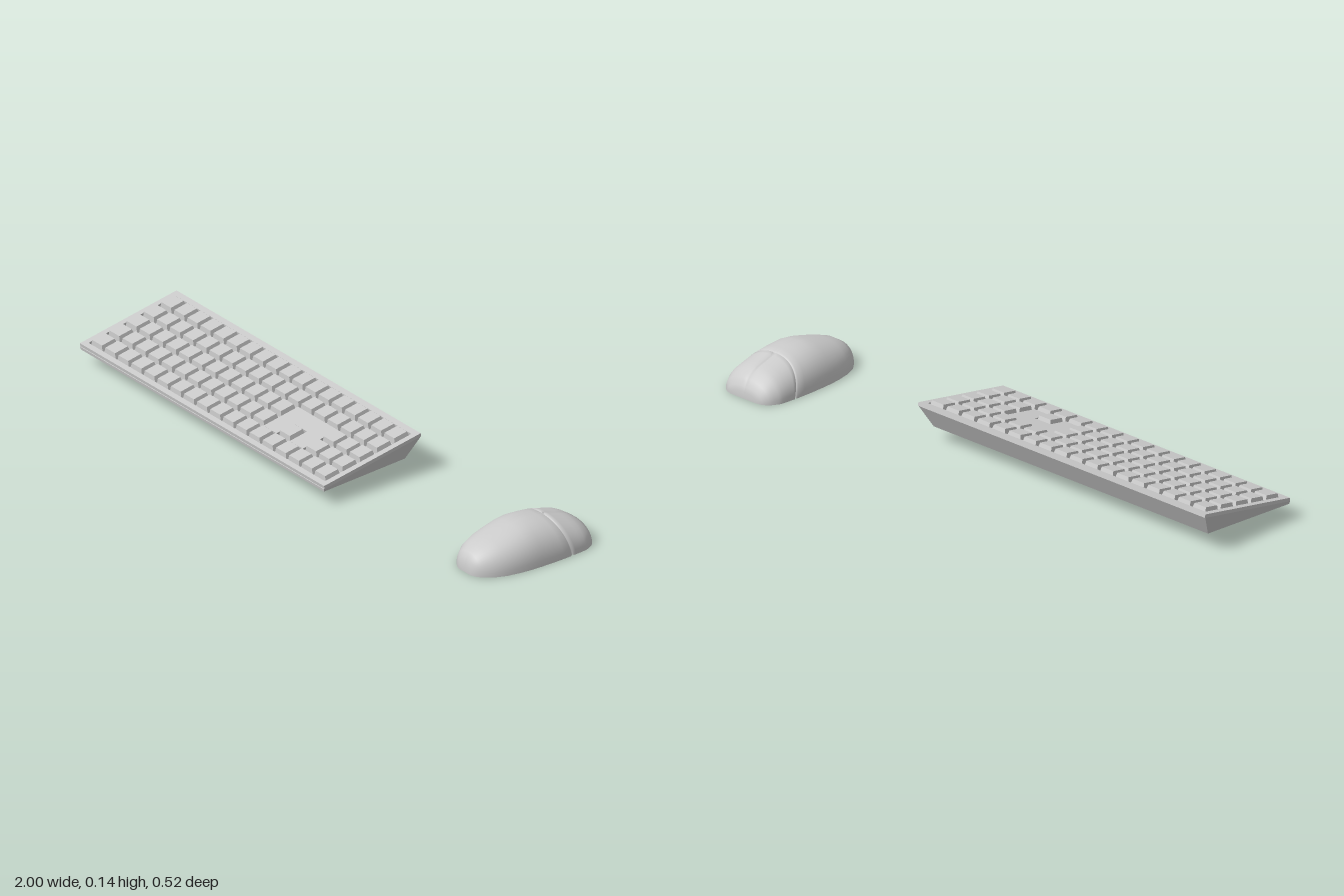
import * as THREE from 'three';

const material = new THREE.MeshStandardMaterial({ color: 0xcccccc });
const shellMaterial = new THREE.MeshStandardMaterial({ color: 0xcccccc, side: THREE.DoubleSide });

function addMesh(parent, name, geometry, x = 0, y = 0, z = 0, mat = material) {
  const mesh = new THREE.Mesh(geometry, mat);
  mesh.name = name;
  mesh.position.set(x, y, z);
  parent.add(mesh);
  return mesh;
}

// Moves every vertex of a geometry by a rule.
function reshape(geometry, rule) {
  const p = geometry.attributes.position;
  const v = new THREE.Vector3();
  for (let i = 0; i < p.count; i++) {
    rule(v.fromBufferAttribute(p, i));
    p.setXYZ(i, v.x, v.y, v.z);
  }
  geometry.computeVertexNormals();
  return geometry;
}

function createKeyboard() {
  const keyboard = new THREE.Group();
  keyboard.name = 'keyboard';
  const centreX = -0.375, halfWidth = 0.625;

  // Wedge base with drafted sides and a flat underside
  const base = reshape(new THREE.BoxGeometry(1, 1, 1), (v) => {
    const front = v.z > 0, top = v.y > 0;
    const inset = top ? 0 : front ? 0.003 : 0.028;
    v.x = Math.sign(v.x) * (halfWidth - inset);
    v.y = top ? (front ? 0.06 : 0.126) : 0.05;
    v.z = front ? (top ? 0.261 : 0.259) : (top ? -0.124 : -0.083);
  });
  addMesh(keyboard, 'keyboardBase', base, centreX);

  // Everything on the sloping deck; y = 0 is the top of the rim
  const deck = new THREE.Group();
  deck.name = 'keyboardDeck';
  deck.position.set(centreX, 0.1045, 0.0685);
  deck.rotation.x = Math.atan(0.172);
  keyboard.add(deck);

  const depth = 0.0117, halfLength = 0.195;
  const pitchX = 0.0672, pitchZ = 0.0697, columns = 18, rows = 5;
  const left = -columns * pitchX / 2, back = -0.173;
  const right = -left, front = back + rows * pitchZ;

  // Raised rim around the key field
  const outline = new THREE.Shape([
    new THREE.Vector2(-halfWidth, -halfLength), new THREE.Vector2(halfWidth, -halfLength),
    new THREE.Vector2(halfWidth, halfLength), new THREE.Vector2(-halfWidth, halfLength),
  ]);
  outline.holes.push(new THREE.Path([
    new THREE.Vector2(left, -front), new THREE.Vector2(left, -back),
    new THREE.Vector2(right, -back), new THREE.Vector2(right, -front),
  ]));
  const rim = new THREE.ExtrudeGeometry(outline, { depth, bevelEnabled: false });
  rim.rotateX(-Math.PI / 2);
  addMesh(deck, 'keyboardRim', rim, 0, -depth, 0);

  // Tapered keycaps, with a flat panel around the arrow cluster
  const keyHeight = 0.022;
  const keycap = reshape(new THREE.BoxGeometry(0.059, keyHeight, 0.061), (v) => {
    if (v.y > 0) { v.x *= 0.84; v.z *= 0.84; }
  });
  for (let row = 0; row < rows; row++) {
    for (let col = 0; col < columns; col++) {
      const inPanel = col >= 12 && col <= 14 && (row === 2 || row === 3);
      if (inPanel && !(row === 3 && col === 13)) continue;
      addMesh(deck, 'key', keycap,
        left + (col + 0.5) * pitchX, -depth + keyHeight / 2, back + (row + 0.5) * pitchZ);
    }
  }
  const panel = (name, col, row, span) => addMesh(deck, name,
    new THREE.BoxGeometry(span * pitchX, depth, pitchZ),
    left + (col + span / 2) * pitchX, -depth / 2, back + (row + 0.5) * pitchZ);
  panel('arrowPanelTop', 12, 2, 3);
  panel('arrowPanelLeft', 12, 3, 1);
  panel('arrowPanelRight', 14, 3, 1);
  return keyboard;
}

// Mouse stations: z, half width, height
const stations = [
  [-0.262, 0.055, 0.024], [-0.257, 0.076, 0.040], [-0.244, 0.095, 0.0625], [-0.215, 0.112, 0.082],
  [-0.197, 0.116, 0.091], [-0.122, 0.121, 0.114], [-0.07, 0.122, 0.121], [-0.024, 0.121, 0.125],
  [0.016, 0.119, 0.119], [0.056, 0.114, 0.109], [0.1, 0.105, 0.097], [0.142, 0.088, 0.083],
  [0.172, 0.064, 0.064], [0.184, 0.046, 0.048], [0.19, 0.03, 0.025],
];

function sizeAt(z) {
  let i = 0;
  while (i < stations.length - 2 && z > stations[i + 1][0]) i++;
  const [z0, w0, h0] = stations[i], [z1, w1, h1] = stations[i + 1];
  const t = THREE.MathUtils.clamp((z - z0) / (z1 - z0), 0, 1);
  return [w0 + (w1 - w0) * t, h0 + (h1 - h0) * t];
}

function createMouse() {
  // Arch angles, with extra ones beside the centre seam
  const angles = [];
  for (let i = 0; i <= 24; i++) if (i !== 12) angles.push(Math.PI * i / 24);
  for (const d of [0.018, 0.034]) angles.push(Math.PI / 2 - d, Math.PI / 2 + d);
  angles.sort((a, b) => a - b);

  // Rings along z, with extra ones for the cross seam
  const seamStart = -0.122, seamEnd = -0.112;
  const rings = [...stations.map((s) => s[0]), -0.23, -0.175, -0.155, -0.135, -0.119, -0.115, seamEnd, -0.09]
    .sort((a, b) => a - b);

  const positions = [], indices = [];
  const addRing = (z0, scale) => {
    const bend = 0.033 * Math.max(0, 1 - Math.abs(z0 + 0.117) / 0.1);
    for (const a of angles) {
      const s = Math.max(0, Math.sin(a)), c = Math.cos(a);
      const z = z0 - bend * (1 - s);
      const [w, h] = sizeAt(z);
      const inCross = z0 > seamStart + 0.001 && z0 < seamEnd - 0.001;
      const inCentre = z0 < seamEnd && Math.abs(a - Math.PI / 2) < 0.025;
      const k = scale * (inCross || inCentre ? 0.955 : 1);
      positions.push(k * w * Math.sign(c) * Math.abs(c) ** 0.87, k * h * s ** 0.87, z);
    }
  };
  addRing(rings[0], 0);
  rings.forEach((z) => addRing(z, 1));
  addRing(rings[rings.length - 1], 0);

  const n = angles.length;
  for (let j = 0; j < rings.length + 1; j++) {
    for (let i = 0; i < n - 1; i++) {
      const a = j * n + i, b = a + 1, c = a + n, d = c + 1;
      indices.push(a, b, c, b, d, c);
    }
  }
  const geometry = new THREE.BufferGeometry();
  geometry.setAttribute('position', new THREE.Float32BufferAttribute(positions, 3));
  geometry.setIndex(indices);
  geometry.computeVertexNormals();

  // Open-bottomed shell with button seams
  const mouse = new THREE.Group();
  mouse.name = 'mouse';
  addMesh(mouse, 'mouseShell', geometry, 0.878, 0, 0, shellMaterial);
  return mouse;
}

export function createModel() {
  const model = new THREE.Group();
  model.name = 'keyboardAndMouse';
  model.add(createKeyboard(), createMouse());
  return model;
}
